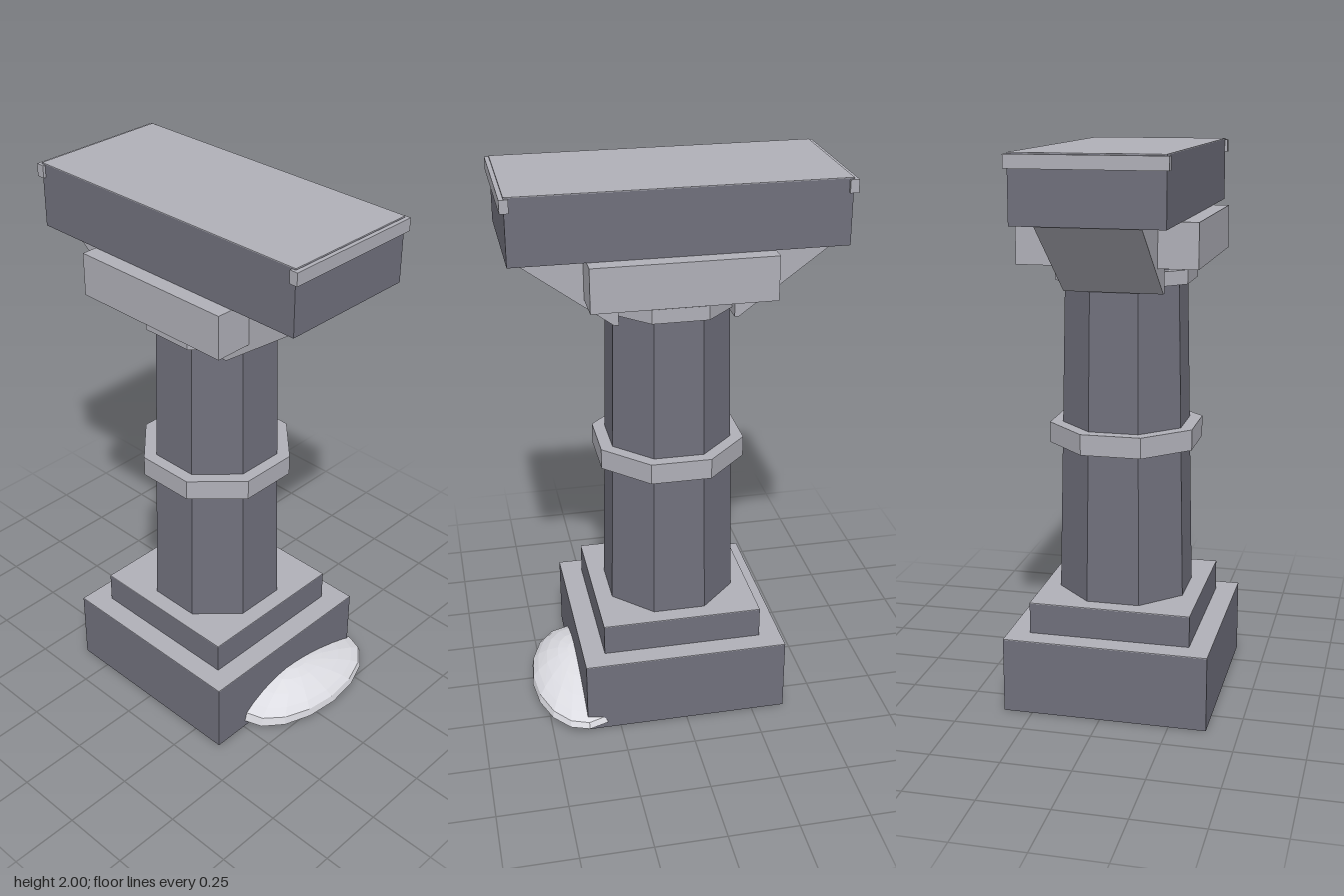
import * as THREE from 'three';

export function createModel() {
  const model = new THREE.Group();
  const mat = (name, color) => {
    const m = new THREE.MeshStandardMaterial({ color, flatShading: true });
    m.name = name;
    return m;
  };
  const dark = mat('dark stone', 0x70707c);
  const light = mat('light stone', 0xb0b0b8);
  const pale = mat('pale mound', 0xdcdce2);

  // The pillar stands slightly off centre; the mound balances it
  const pillar = new THREE.Group();
  pillar.name = 'pillar';
  pillar.position.x = -0.015;
  model.add(pillar);

  const add = (name, geo, material, parent = pillar) => {
    const mesh = new THREE.Mesh(geo, material);
    mesh.name = name;
    parent.add(mesh);
    return mesh;
  };
  const box = (name, w, d, y0, y1, material, z = 0) =>
    add(name, new THREE.BoxGeometry(w, y1 - y0, d).translate(0, (y0 + y1) / 2, z), material);
  // Octagonal prism given by its flat-to-flat half widths
  const octagon = (name, top, bottom, y0, y1, material) => {
    const k = 1 / Math.cos(Math.PI / 8);
    const geo = new THREE.CylinderGeometry(top * k, bottom * k, y1 - y0, 8);
    add(name, geo.rotateY(Math.PI / 8).translate(0, (y0 + y1) / 2, 0), material);
  };
  // Dark block with a thin light top face
  const cappedBox = (name, w, d, y0, y1) => {
    box(name, w, d, y0, y1 - 0.003, dark);
    box(name + 'Top', w, d, y1 - 0.003, y1, light);
  };

  // Stepped base
  cappedBox('base', 0.74, 0.745, 0, 0.275);
  cappedBox('baseStep', 0.585, 0.585, 0.275, 0.39);

  // Tapered shaft and its rings
  octagon('shaft', 0.203, 0.23, 0.39, 1.63, dark);
  octagon('middleRing', 0.26, 0.26, 0.945, 1.02, light);
  octagon('upperRing', 0.2375, 0.2375, 1.535, 1.585, light);

  // Cross block and top slab
  box('crossBlock', 0.625, 0.63, 1.615, 1.77, light);
  cappedBox('slab', 0.51, 1.14, 1.77, 2);

  // Wedge brackets and end trims, front and back
  const wedge = new THREE.Shape();
  wedge.moveTo(0.2, 1.77);
  wedge.lineTo(0.2, 1.515);
  wedge.lineTo(0.215, 1.515);
  wedge.lineTo(0.56, 1.77);
  for (const side of [1, -1]) {
    const geo = new THREE.ExtrudeGeometry(wedge, { depth: 0.35, bevelEnabled: false });
    geo.translate(0, 0, -0.175).rotateY(-side * Math.PI / 2);
    add(side > 0 ? 'frontBracket' : 'backBracket', geo, light);
    box(side > 0 ? 'frontTrim' : 'backTrim', 0.53, 0.03, 1.95, 1.995, light, side * 0.57);
  }

  // Low mound against the base, higher towards its right
  const profile = [[0, 0], [1, 0], [0.97, 0.25], [0.85, 0.45], [0.65, 0.68], [0.4, 0.88], [0.18, 0.98], [0, 1]];
  const mound = new THREE.LatheGeometry(profile.map(([r, y]) => new THREE.Vector2(r, y)), 16);
  const p = mound.attributes.position;
  for (let i = 0; i < p.count; i++) {
    const x = p.getX(i), y = p.getY(i);
    p.setXYZ(i, (x - 0.1 * y * (1 - Math.abs(x))) * 0.315, y * (1 - 0.25 * x) * 0.113, p.getZ(i) * 0.175);
  }
  mound.computeVertexNormals();
  add('mound', mound, pale, model).position.set(0.07, 0.025, 0.37);

  return model;
}
